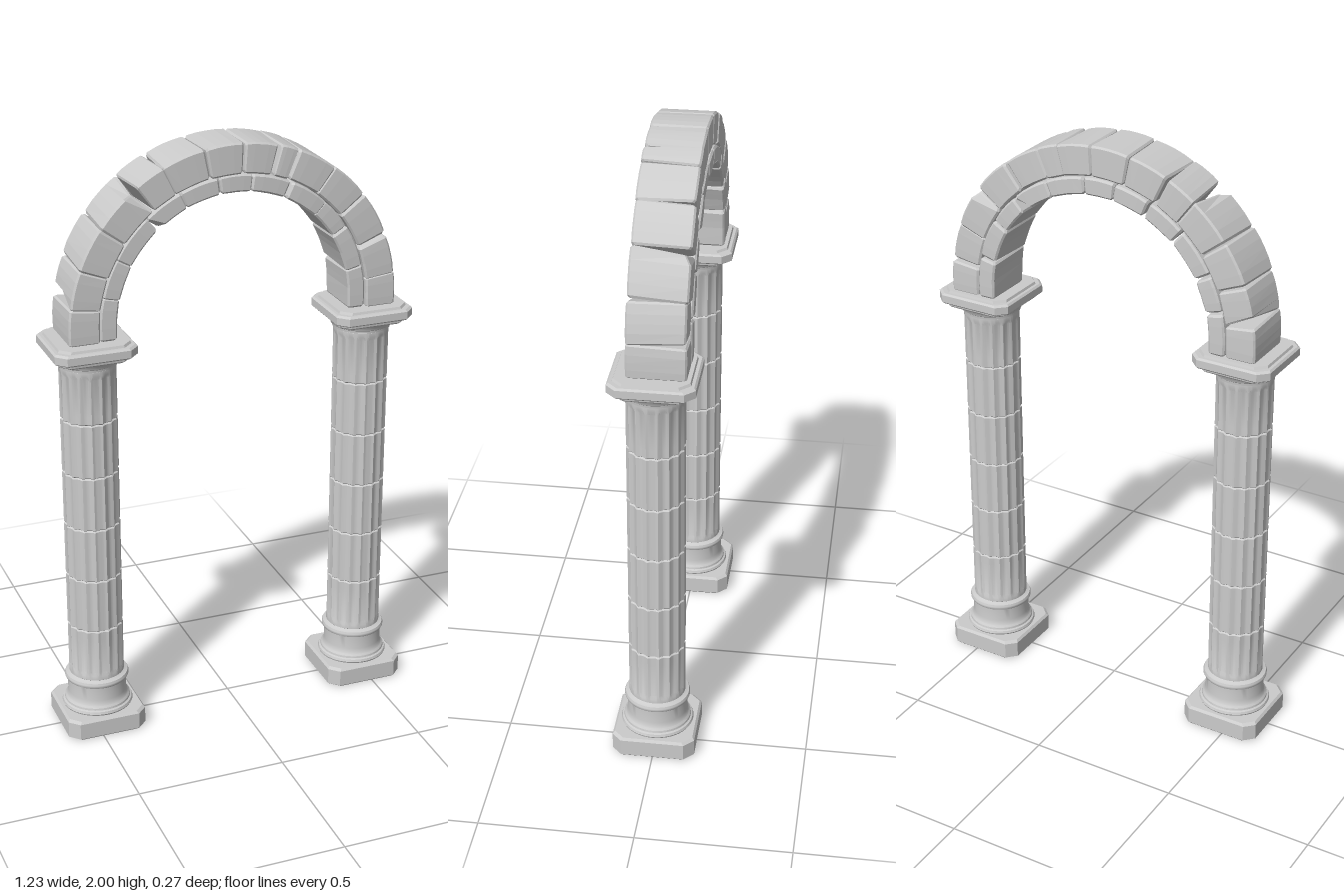
import * as THREE from 'three';
import { toCreasedNormals } from 'three/addons/utils/BufferGeometryUtils.js';

const stone = new THREE.MeshStandardMaterial({ color: 0xcccccc });

let seed = 7;
const rand = () => (seed = (seed * 16807) % 2147483647) / 2147483647;
const jitter = (amount) => (rand() - 0.5) * 2 * amount;

function add(parent, name, geometry) {
  const mesh = new THREE.Mesh(geometry, stone);
  mesh.name = name;
  parent.add(mesh);
  return mesh;
}

// Chamfered rectangle, anticlockwise around the sweep direction
const section = (h, w, c) => [
  [h, w - c], [h, c - w], [h - c, -w], [c - h, -w],
  [-h, c - w], [-h, w - c], [c - h, w], [h - c, w],
];

// Faceted solid through a list of rings, closed at both ends
function loft(rings) {
  const out = [];
  const tri = (...pts) => pts.forEach((p) => out.push(p.x, p.y, p.z));
  const n = rings[0].length;
  for (let i = 0; i < rings.length - 1; i++) {
    for (let j = 0; j < n; j++) {
      const k = (j + 1) % n;
      tri(rings[i][j], rings[i][k], rings[i + 1][k]);
      tri(rings[i][j], rings[i + 1][k], rings[i + 1][j]);
    }
  }
  const first = rings[0], last = rings[rings.length - 1];
  for (let j = 1; j < n - 1; j++) {
    tri(first[0], first[j + 1], first[j]);
    tri(last[0], last[j], last[j + 1]);
  }
  const g = new THREE.BufferGeometry();
  g.setAttribute('position', new THREE.Float32BufferAttribute(out, 3));
  g.computeVertexNormals();
  return g;
}

// Square slab with cut corners, from [half width, height] steps
const slab = (steps) => loft(steps.map(([h, y]) =>
  section(h, h, 0.032).map(([x, z]) => new THREE.Vector3(x, y, z))));

const lathe = (profile, segments) =>
  new THREE.LatheGeometry(profile.map(([r, y]) => new THREE.Vector2(r, y)), segments);

// One shaft drum with shallow flutes that fade out at the shaft ends
const SHAFT_BOTTOM = 0.19, SHAFT_TOP = 1.312, FLUTES = 16;
function drum(y0, y1) {
  const g = lathe([
    [0.088, y0], [0.093, y0 + 0.004], [0.093, y0 + 0.018], [0.093, y0 + 0.03],
    [0.093, y1 - 0.03], [0.093, y1 - 0.018], [0.093, y1 - 0.004], [0.088, y1],
  ], FLUTES * 8);
  const p = g.attributes.position;
  for (let i = 0; i < p.count; i++) {
    const x = p.getX(i), y = p.getY(i), z = p.getZ(i);
    const turn = Math.atan2(x, z) / (Math.PI * 2) + 1;
    const u = (turn * FLUTES + 0.5) % 1;
    const hollow = Math.sqrt(Math.max(0, Math.sin(Math.PI * (u - 0.1) / 0.8)));
    const edge = Math.min(y - SHAFT_BOTTOM, SHAFT_TOP - y);
    const fade = THREE.MathUtils.smoothstep(edge, 0.017, 0.03);
    const s = 1 - 0.065 * hollow * fade;
    p.setXYZ(i, x * s, y, z * s);
  }
  return toCreasedNormals(g, 0.5);
}

function column(name, x) {
  const group = new THREE.Group();
  group.name = name;
  group.position.x = x;
  add(group, 'plinth', slab([[0.13, 0], [0.136, 0.006], [0.136, 0.062], [0.129, 0.07]]));
  add(group, 'baseMoulding', toCreasedNormals(lathe([
    [0.117, 0.069], [0.12, 0.075], [0.117, 0.083], [0.111, 0.086], [0.11, 0.093],
    [0.104, 0.099], [0.101, 0.108], [0.099, 0.118], [0.099, 0.165], [0.105, 0.168],
    [0.108, 0.174], [0.108, 0.18], [0.105, 0.186], [0.098, 0.188], [0.09, 0.193],
  ], 48), 0.6));
  const step = (SHAFT_TOP - SHAFT_BOTTOM) / 6;
  for (let i = 0; i < 6; i++) {
    const y = SHAFT_BOTTOM + i * step;
    add(group, 'shaftDrum', drum(y, y + step));
  }
  add(group, 'capitalMoulding', toCreasedNormals(lathe([
    [0.09, 1.308], [0.097, 1.31], [0.098, 1.318], [0.102, 1.321],
    [0.105, 1.33], [0.111, 1.338], [0.115, 1.347],
  ], 48), 0.6));
  // Top slab stepping in below and above its edge
  add(group, 'abacus', slab([
    [0.112, 1.337], [0.119, 1.343], [0.12, 1.351], [0.131, 1.354], [0.136, 1.359],
    [0.136, 1.384], [0.13, 1.39], [0.12, 1.39], [0.117, 1.398], [0.108, 1.398],
  ]));
  return group;
}

// Point on the arch path: a half circle with short straight feet
const CENTRE_Y = 1.44;
function archPoint(r, degrees, z) {
  const a = THREE.MathUtils.clamp(degrees, 0, 180);
  const drop = THREE.MathUtils.degToRad(Math.abs(degrees - a)) * 0.5;
  const t = THREE.MathUtils.degToRad(a);
  return new THREE.Vector3(r * Math.cos(t), CENTRE_Y + r * Math.sin(t) - drop, z);
}

// Wedge block between two joints with bevelled, slightly uneven edges
function archBlock(r0, r1, z0, z1, a0, a1) {
  const outer = r1 - rand() * 0.003, inner = r0 + rand() * 0.002;
  const front = z1 - rand() * 0.005, back = z0 + rand() * 0.005;
  const rMid = (inner + outer) / 2, zMid = (front + back) / 2;
  const h = (outer - inner) / 2, w = (front - back) / 2;
  const slant = [a0 < 0 ? 0 : jitter(0.7), a1 > 180 ? 0 : jitter(0.7)];
  const stops = [[0, 0.007], [0.05, 0.001], [0.28, 0], [0.5, 0], [0.72, 0], [0.95, 0.001], [1, 0.007]];
  return stops.map(([t, inset]) => section(h - inset, w - inset, 0.006).map(([r, z]) => {
    const skew = THREE.MathUtils.lerp(slant[0], slant[1], t) * (z / w);
    const end = t === 0 || t === 1 ? 0 : jitter(0.0006);
    return archPoint(rMid + r - Math.abs(end), THREE.MathUtils.lerp(a0 + 0.15, a1 - 0.15, t) + skew, zMid + z);
  }));
}

function archRing(name, joints, r0, r1, z0, z1, chips = {}) {
  const group = new THREE.Group();
  group.name = name;
  for (let i = 0; i < joints.length - 1; i++) {
    const rings = archBlock(r0, r1, z0, z1, joints[i], joints[i + 1]);
    // Knock a corner off a worn block
    if (chips[i]) {
      const [atEnd, corners, depth] = chips[i];
      const ends = atEnd ? [6, 5] : [0, 1];
      const mid = archPoint((r0 + r1) / 2, (joints[i] + joints[i + 1]) / 2, (z0 + z1) / 2);
      ends.forEach((e) => corners.forEach((c) => rings[e][c].lerp(mid, depth)));
    }
    add(group, 'archBlock', loft(rings));
  }
  return group;
}

export function createModel() {
  const model = new THREE.Group();
  model.name = 'archway';
  model.add(column('leftColumn', 0.478), column('rightColumn', -0.478));

  // Large outer stones and the thinner ring lining the opening
  model.add(archRing('outerArch',
    [-5.2, 7, 21, 37.5, 52.5, 67, 74.5, 87, 101, 116, 127, 143.5, 158.5, 172, 185.2],
    0.455, 0.56, -0.107, 0.083,
    { 10: [false, [0, 7], 0.25], 12: [true, [1, 2], 0.3], 2: [true, [1, 2], 0.15] }));
  model.add(archRing('innerArch',
    [-5.2, 13, 32, 47, 65, 83, 97.5, 114, 131, 151, 167, 185.2],
    0.395, 0.456, -0.111, 0.077,
    { 3: [false, [3, 4], 0.2], 7: [true, [5, 6], 0.15] }));
  return model;
}
